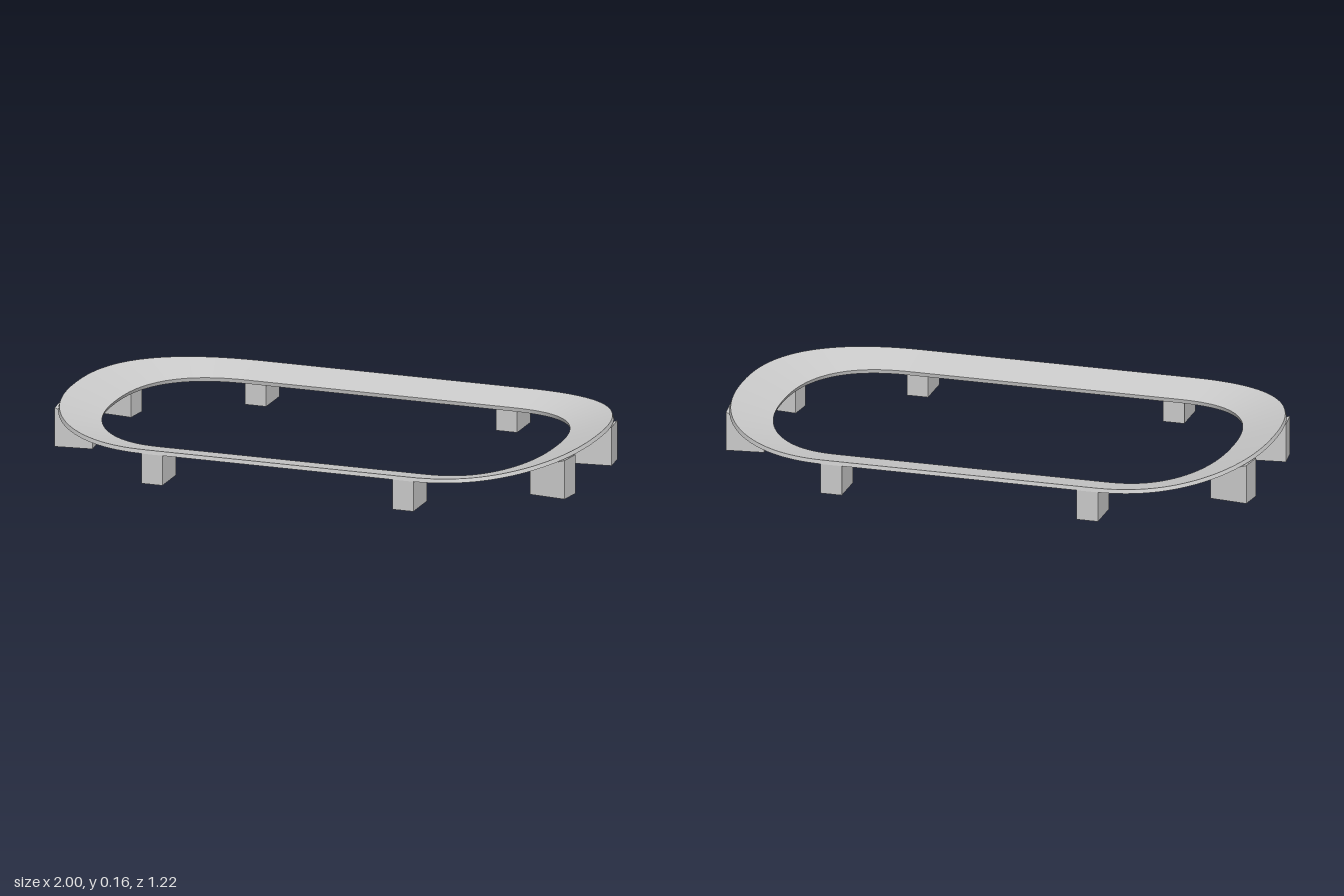
import * as THREE from 'three';

const WIDTH = 0.153, THICK = 0.015;       // track width and slab thickness
const MID = 0.5, RX = 0.5, RZ = 0.61;     // rounded ends: centre offset and radii
const POWER = 2.25;                       // roundness of the end curve

// underside of the banked track: c is 0 on the straights, 1 at the tip of an end
const outerHeight = c => THREE.MathUtils.lerp(0.112, 0.15, c);
const bankSlope = c => THREE.MathUtils.lerp(0.2, 0.35, c);
const underside = (c, inward) => outerHeight(c) - bankSlope(c) * inward;

// outer outline, with its outward normal and bank amount
function outline(steps) {
  const points = [];
  for (const side of [1, -1]) {
    for (let i = 0; i <= steps; i++) {
      const t = (-0.5 + i / steps) * Math.PI;
      const cos = i === 0 || i === steps ? 0 : Math.cos(t), sin = Math.sin(t);
      const u = Math.pow(cos, 2 / POWER);
      const v = Math.sign(sin) * Math.pow(Math.abs(sin), 2 / POWER);
      const n = new THREE.Vector2(
        Math.pow(u, POWER - 1) / RX,
        Math.sign(v) * Math.pow(Math.abs(v), POWER - 1) / RZ
      ).normalize();
      points.push({
        x: side * (MID + RX * u), z: side * RZ * v,
        nx: side * n.x, nz: side * n.y, c: cos * cos
      });
    }
  }
  return points;
}

// banked slab section swept round the outline, with crisp long edges
function trackGeometry() {
  const path = outline(64), count = path.length;
  const positions = [], index = [];
  const section = c => {
    const a = Math.atan(bankSlope(c));
    const dx = -THICK * Math.sin(a), dy = THICK * Math.cos(a);
    const yo = underside(c, 0), yi = underside(c, WIDTH);
    return [[0, yo], [dx, yo + dy], [-WIDTH + dx, yi + dy], [-WIDTH, yi]];
  };
  for (let face = 0; face < 4; face++) {
    const base = positions.length / 3;
    path.forEach((p, j) => {
      const s = section(p.c);
      for (const [r, y] of [s[face], s[(face + 1) % 4]]) {
        positions.push(p.x + p.nx * r, y, p.z + p.nz * r);
      }
      const a = base + 2 * j, c = base + 2 * ((j + 1) % count);
      index.push(a, a + 1, c, a + 1, c + 1, c);
    });
  }
  const geometry = new THREE.BufferGeometry();
  geometry.setAttribute('position', new THREE.Float32BufferAttribute(positions, 3));
  geometry.setIndex(index);
  geometry.computeVertexNormals();
  return geometry;
}

// block whose top follows the banked underside; local +x points outward
function postGeometry(width, depth, c, inset) {
  const geometry = new THREE.BoxGeometry(depth, 1, width);
  const pos = geometry.attributes.position;
  for (let i = 0; i < pos.count; i++) {
    const inward = inset + depth / 2 - pos.getX(i);
    pos.setY(i, pos.getY(i) > 0 ? underside(c, inward) + 0.003 : 0);
  }
  const flat = geometry.toNonIndexed();
  flat.computeVertexNormals();
  return flat;
}

export function createModel() {
  const group = new THREE.Group();
  const material = new THREE.MeshStandardMaterial({ color: 0xcccccc });

  const track = new THREE.Mesh(trackGeometry(), material);
  track.name = 'bankedTrack';
  group.add(track);

  const sideGeometry = postGeometry(0.08, 0.14, 0, 0.002);
  const endGeometry = postGeometry(0.088, 0.14, 0.86, 0.008);
  for (const sx of [1, -1]) {
    for (const sz of [1, -1]) {
      // posts under the straights
      const sidePost = new THREE.Mesh(sideGeometry, material);
      sidePost.name = 'sidePost';
      sidePost.position.set(sx * 0.48, 0, sz * 0.538);
      sidePost.rotation.y = -sz * Math.PI / 2;
      group.add(sidePost);

      // posts under the rounded ends, turned slightly with the curve
      const endPost = new THREE.Mesh(endGeometry, material);
      endPost.name = 'endPost';
      endPost.position.set(sx * 0.911, 0, sz * 0.222);
      endPost.rotation.y = -Math.atan2(sz * Math.sin(0.12), sx * Math.cos(0.12));
      group.add(endPost);
    }
  }
  return group;
}
